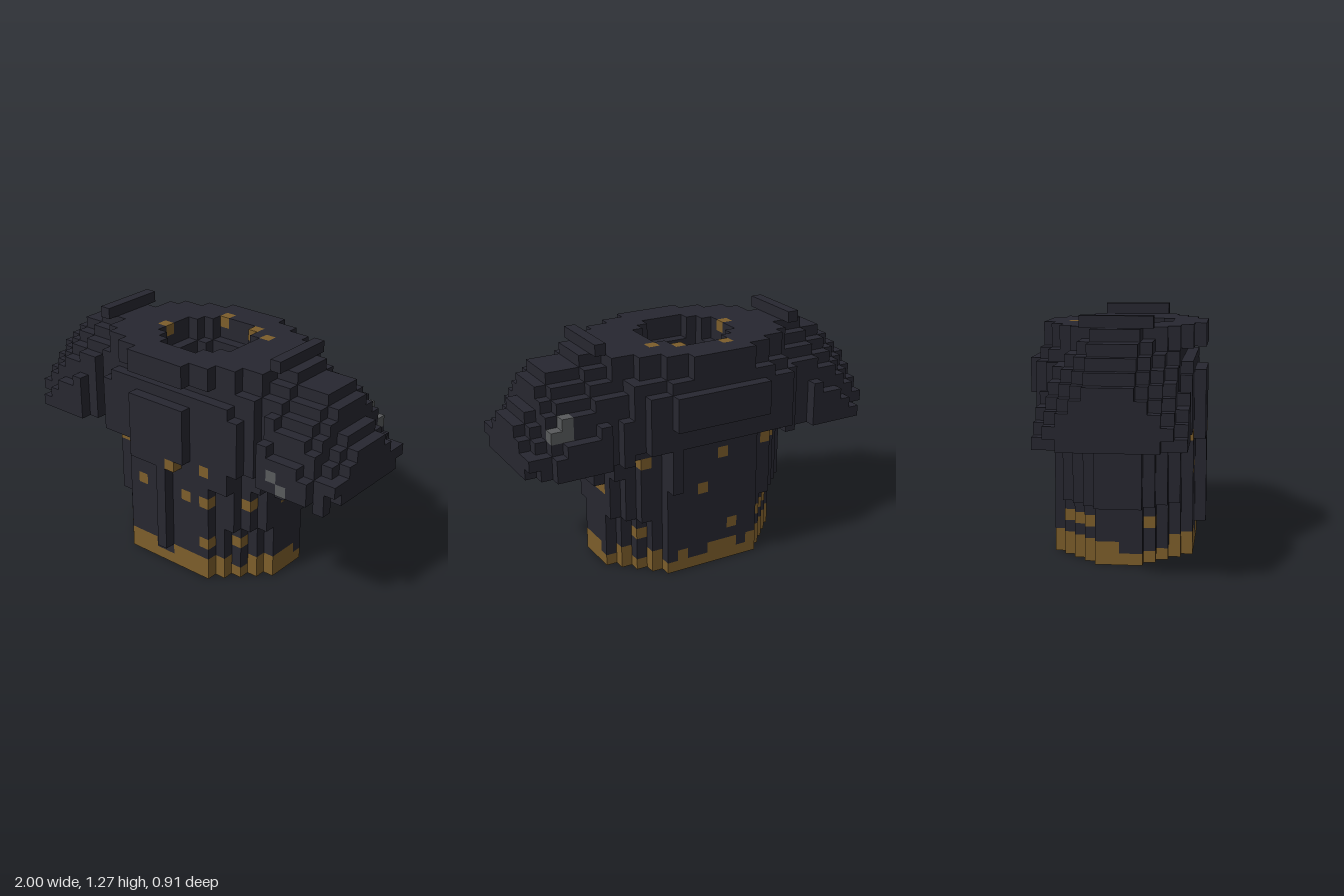
import * as THREE from 'three';

const U = 2 / 33; // cube size; grid is i 0..32 (x), j 0..20 (y), k 0..14 (z)
const within = (v, a, b) => v >= a && v <= b;
// Box lists are [i0, i1, j0, j1, k0, k1]
const inAny = (boxes, i, j, k) => boxes.some((b) =>
  within(i, b[0], b[1]) && within(j, b[2], b[3]) && within(k, b[4], b[5]));

// Octagonal torso wall: half width by distance from the middle depth
const lowerHalf = [8, 8, 7, 6, 5, 4, -1, -1];
const upperHalf = [8, 8, 8, 7, 6, 4, -1, -1];
function inWall(i, j, k) {
  const half = j <= 4 ? lowerHalf : upperHalf;
  const x = Math.abs(i - 16), c = Math.floor(Math.abs(k - 7.5));
  if (c > 5 || x > half[c]) return false;
  const inside = x <= half[c] - 2 && x <= half[c + 2];
  return !inside;
}

// Raised plates on the torso
const plates = [
  [13, 17, 10, 10, 14, 14], [13, 18, 11, 15, 14, 14], [16, 16, 2, 9, 14, 14],
  [9, 23, 11, 15, 13, 13], [10, 22, 16, 16, 13, 13], [21, 22, 9, 10, 13, 13],
  [20, 20, 8, 11, 1, 1], [9, 22, 12, 16, 1, 1], [11, 20, 17, 17, 1, 1],
  [12, 20, 14, 16, 0, 0], [8, 23, 12, 16, 2, 2], [8, 24, 11, 17, 12, 12],
  [7, 7, 5, 10, 6, 9], [25, 25, 8, 10, 6, 9], [24, 24, 9, 10, 4, 11],
];

function isTorso(i, j, k) {
  if (!within(j, 0, 17)) return false;
  if (inAny(plates, i, j, k)) return true;
  if (j >= 16) { // shoulder plate with the neck opening
    const corner = (i === 18 && (k === 5 || k === 10)) || (i === 13 && k === 5);
    const neck = within(i, 13, 18) && within(k, 5, 10) && !corner;
    return within(i, 9, 23) && within(k, 2, 12) && !neck;
  }
  if (j > 10 && within(i, 8, 24) && within(k, 3, 12)) {
    return !(within(i, 10, 22) && within(k, 4, 11));
  }
  return inWall(i, j, k);
}

// Flat octagonal collar around the opening
const collarEnds = { 1: [13, 18], 2: [11, 20], 3: [9, 22], 12: [9, 22], 13: [11, 20], 14: [13, 18] };
function isCollar(i, j, k) {
  if (!within(j, 18, 19) || !within(k, 1, 14)) return false;
  const [a, b] = collarEnds[k] || [8, 24];
  const x = Math.abs(i - 15.5), c = Math.abs(k - 7.5);
  const hole = x <= 3.5 && c <= 3.5 && x + c <= 5.5;
  return within(i, a, b) && !hole;
}

// Domed sleeves: crown height along x, lowered towards front and back
const rightCrown = [15, 16, 17, 18, 18, 19, 19, 19, 19];
const leftCrown = [14, 15, 17, 18, 18, 18, 19, 19, 19];
const drop = [0, 0, 1, 2, 3, 5];
function isSleeve(i, j, k, left) {
  const n = left ? 32 - i : i; // distance from the sleeve's outer end
  if (n < 0 || n > 8) return false;
  if (j === 20) return k >= 5 && k <= 10 && n === (left ? 7 : 6); // shoulder ridge
  if (left && i === 31 && j === 10 && k === 12) return true; // hanging cube
  if (j < 11) return false;
  const wide = left ? within(n, 2, 6) : within(n, 1, 5);
  const k0 = n === 8 || wide ? 2 : 3, k1 = wide ? 13 : n === 7 ? 11 : 12;
  if (!within(k, k0, k1)) return false;
  if (n === 0 && j === 11 && !within(k, 4, 11)) return false; // clipped lower corners
  const top = (left ? leftCrown : rightCrown)[n] - drop[Math.floor(Math.abs(k - 7.5))];
  const hollow = n >= 2 && n < 8 && within(k, k0 + 2, k1 - 2) && j <= top - 2;
  return j <= Math.max(top, n === 0 ? 12 : 11) && !hollow;
}

const studs = [
  // front
  [7, 10, 10, 10, 9, 13], [12, 12, 10, 10, 12, 13], [17, 17, 10, 10, 14, 14], [20, 20, 10, 10, 12, 13],
  [13, 13, 7, 7, 13, 13], [18, 18, 7, 7, 13, 13], [20, 20, 7, 7, 13, 13], [23, 23, 7, 7, 11, 11],
  [9, 9, 3, 3, 9, 11], [20, 20, 3, 3, 13, 13], [22, 22, 3, 3, 11, 11],
  // left side
  [24, 24, 10, 10, 10, 10], [24, 24, 10, 10, 5, 5], [22, 22, 10, 10, 3, 3],
  [24, 24, 7, 7, 6, 8], [22, 22, 3, 3, 4, 4],
  // back and right side
  [15, 15, 10, 10, 2, 2], [8, 10, 10, 10, 3, 4], [17, 17, 7, 7, 2, 2],
  [14, 14, 3, 3, 2, 2], [8, 11, 3, 3, 3, 5],
  // collar
  [14, 14, 19, 19, 3, 3], [18, 18, 19, 19, 4, 4], [20, 20, 19, 19, 5, 5], [11, 11, 19, 19, 8, 8],
];

// Dark gaps in the upper row of the hem
const hemGaps = [
  [9, 10, 1, 1, 10, 13], [15, 16, 1, 1, 12, 13], [22, 22, 1, 1, 11, 11],
  [20, 20, 1, 1, 2, 2], [22, 22, 1, 1, 4, 4], [24, 24, 1, 1, 6, 6],
  [13, 13, 1, 1, 2, 2], [17, 18, 1, 1, 2, 2], [8, 8, 1, 1, 8, 9],
];

const greyPatches = [
  [29, 30, 14, 15, 3, 3], [27, 27, 12, 12, 13, 13], [28, 28, 11, 11, 13, 13],
  [30, 30, 11, 11, 12, 12], [11, 11, 11, 11, 2, 3],
];

// 0 dark, 1 bronze, 2 grey
function colourOf(i, j, k) {
  if (inAny(greyPatches, i, j, k)) return 2;
  if (j <= 1) return inAny(hemGaps, i, j, k) ? 0 : 1;
  return inAny(studs, i, j, k) ? 1 : 0;
}

const parts = [
  ['torso', isTorso],
  ['collar', isCollar],
  ['leftSleeve', (i, j, k) => isSleeve(i, j, k, true)],
  ['rightSleeve', (i, j, k) => isSleeve(i, j, k, false)],
];
const partAt = (i, j, k) => parts.findIndex(([, rule]) => rule(i, j, k));

// Adds the outward face of a cube along one axis
function addFace(out, cell, axis, sign) {
  const b = (axis + 1) % 3, c = (axis + 2) % 3;
  const corners = [[0, 0], [1, 0], [1, 1], [0, 1]].map(([s, t]) => {
    const p = [...cell];
    p[axis] += sign > 0 ? 1 : 0;
    p[b] += s;
    p[c] += t;
    return [(p[0] - 16.5) * U, p[1] * U, (p[2] - 7.5) * U];
  });
  const order = sign > 0 ? [0, 1, 2, 0, 2, 3] : [0, 2, 1, 0, 3, 2];
  for (const n of order) out.push(...corners[n]);
}

export function createModel() {
  const colours = [['darkMetal', 0x272730], ['bronze', 0x7d5e2b], ['wornGrey', 0x585a5c]];
  const materials = colours.map(([name, color]) => {
    const m = new THREE.MeshStandardMaterial({ color });
    m.name = name;
    return m;
  });
  const faces = parts.map(() => colours.map(() => []));

  // Only faces next to empty space are kept
  for (let i = 0; i < 33; i++) for (let j = 0; j < 21; j++) for (let k = 0; k < 15; k++) {
    const part = partAt(i, j, k);
    if (part < 0) continue;
    const out = faces[part][colourOf(i, j, k)];
    for (let axis = 0; axis < 3; axis++) for (const sign of [-1, 1]) {
      const next = [i, j, k];
      next[axis] += sign;
      if (partAt(...next) < 0) addFace(out, [i, j, k], axis, sign);
    }
  }

  const model = new THREE.Group();
  model.name = 'chestArmour';
  parts.forEach(([name], p) => {
    const group = new THREE.Group();
    group.name = name;
    faces[p].forEach((points, c) => {
      if (!points.length) return;
      const geometry = new THREE.BufferGeometry();
      geometry.setAttribute('position', new THREE.Float32BufferAttribute(points, 3));
      geometry.computeVertexNormals();
      const mesh = new THREE.Mesh(geometry, materials[c]);
      mesh.name = name + ['Plate', 'Studs', 'WornPatch'][c];
      group.add(mesh);
    });
    model.add(group);
  });
  return model;
}
